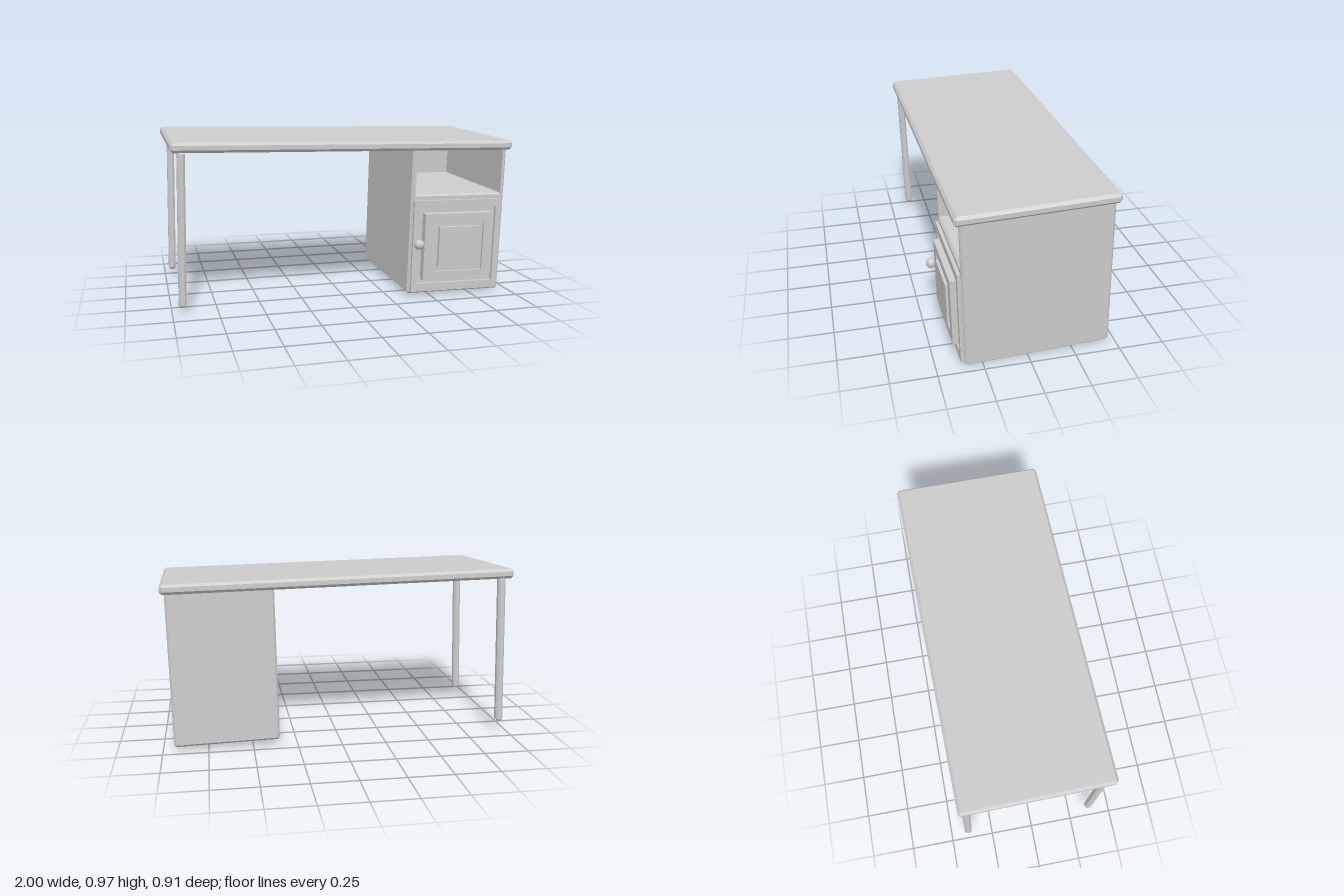
import * as THREE from 'three';
import { ConvexGeometry } from 'three/addons/geometries/ConvexGeometry.js';

const material = new THREE.MeshStandardMaterial({ color: 0xcccccc, flatShading: true });
const smooth = new THREE.MeshStandardMaterial({ color: 0xcccccc });

function part(name, geometry, mat = material) {
  const mesh = new THREE.Mesh(geometry, mat);
  mesh.name = name;
  return mesh;
}

// Box between two corners with every edge chamfered by c
function chamferBox(name, [x0, y0, z0], [x1, y1, z1], c) {
  const points = [];
  for (const x of [x0, x1]) for (const y of [y0, y1]) for (const z of [z0, z1]) {
    const ix = x === x0 ? c : -c, iy = y === y0 ? c : -c, iz = z === z0 ? c : -c;
    points.push(
      new THREE.Vector3(x, y + iy, z + iz),
      new THREE.Vector3(x + ix, y, z + iz),
      new THREE.Vector3(x + ix, y + iy, z));
  }
  return part(name, new ConvexGeometry(points));
}

function rectPoints(cx, cy, hw, hh) {
  return [[-1, -1], [1, -1], [1, 1], [-1, 1]].map(([sx, sy]) => new THREE.Vector2(cx + sx * hw, cy + sy * hh));
}

// Rectangular frame facing +z, from z0 to z1
function frame(name, cx, cy, outer, inner, z0, z1) {
  const shape = new THREE.Shape(rectPoints(cx, cy, ...outer));
  shape.holes.push(new THREE.Path(rectPoints(cx, cy, ...inner)));
  const geometry = new THREE.ExtrudeGeometry(shape, { depth: z1 - z0, bevelEnabled: false });
  geometry.translate(0, 0, z0);
  return part(name, geometry);
}

function panel(name, cx, cy, [hw, hh], z0, z1) {
  const geometry = new THREE.BoxGeometry(hw * 2, hh * 2, z1 - z0);
  geometry.translate(cx, cy, (z0 + z1) / 2);
  return part(name, geometry);
}

export function createModel() {
  const desk = new THREE.Group();
  desk.name = 'desk';

  // Table top
  desk.add(chamferBox('tableTop', [-1.01, 0.886, -0.463], [0.97, 0.941, 0.393], 0.015));

  // Two legs on the right
  for (const [name, z] of [['frontLeg', 0.331], ['backLeg', -0.437]]) {
    desk.add(chamferBox(name, [-0.973, 0.033, z], [-0.93, 0.89, z + 0.043], 0.011));
  }

  // Cabinet: closed lower body, its top being the shelf of the open compartment
  const cabinet = new THREE.Group();
  cabinet.name = 'cabinet';
  const x0 = 0.358, x1 = 0.947, zb = -0.438, zf = 0.364, c = 0.011, wall = 0.025;
  cabinet.add(chamferBox('cabinetBody', [x0, 0.031, zb], [x1, 0.627, zf], c));

  // U-shaped walls of the open compartment, in plan (plan y = -z)
  const plan = [
    [x0, -zf + c], [x0 + c, -zf], [x0 + wall, -zf], [x0 + wall, -zb - wall],
    [x1 - wall, -zb - wall], [x1 - wall, -zf], [x1 - c, -zf], [x1, -zf + c],
    [x1, -zb - c], [x1 - c, -zb], [x0 + c, -zb], [x0, -zb - c],
  ].map(([x, y]) => new THREE.Vector2(x, y));
  const walls = new THREE.ExtrudeGeometry(new THREE.Shape(plan), { depth: 0.286, bevelEnabled: false });
  walls.rotateX(-Math.PI / 2);
  walls.translate(0, 0.604, 0);
  cabinet.add(part('compartmentWalls', walls));
  desk.add(cabinet);

  // Door with stepped concentric mouldings
  const door = new THREE.Group();
  door.name = 'door';
  const cx = 0.65, cy = 0.32;
  door.add(frame('doorFrame', cx, cy, [0.277, 0.274], [0.242, 0.226], 0.35, 0.383));
  door.add(frame('doorMoulding', cx, cy, [0.215, 0.199], [0.157, 0.148], 0.35, 0.41));
  door.add(panel('doorRecess', cx, cy, [0.158, 0.149], 0.35, 0.395));
  door.add(panel('doorCentre', cx, cy, [0.126, 0.12], 0.35, 0.418));
  const knob = part('knob', new THREE.SphereGeometry(0.03, 24, 16), smooth);
  knob.position.set(0.395, 0.345, 0.424);
  door.add(knob);
  const stem = part('knobStem', new THREE.CylinderGeometry(0.012, 0.012, 0.04, 16), smooth);
  stem.rotation.x = Math.PI / 2;
  stem.position.set(0.395, 0.345, 0.39);
  door.add(stem);
  desk.add(door);

  // The whole desk sits slightly tilted
  desk.rotation.set(0.027, 0.02, -0.02);
  const model = new THREE.Group();
  model.name = 'tiltedDesk';
  model.add(desk);
  return model;
}
